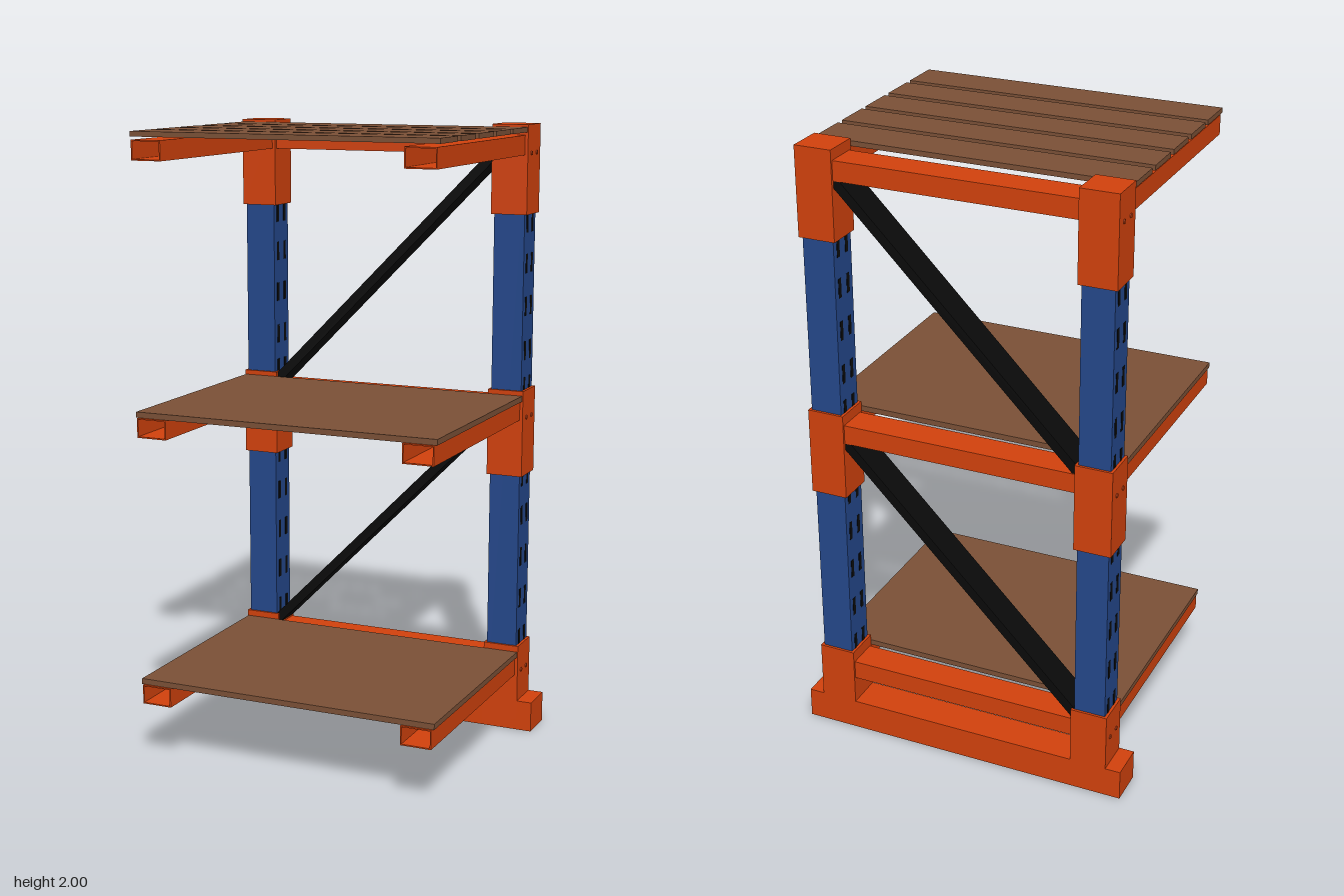
import * as THREE from 'three';

function flat(name, hex) {
  const m = new THREE.MeshStandardMaterial({ color: hex });
  m.name = name;
  return m;
}

export function createModel() {
  const orange = flat('orange', 0xd1410c);
  const blue = flat('blue', 0x24478a);
  const brown = flat('brown', 0x7a5036);
  const black = flat('black', 0x0a0a0a);

  const model = new THREE.Group();
  model.name = 'storageRack';

  // Box given by its lower and upper corners
  function box(name, mat, [x0, y0, z0], [x1, y1, z1]) {
    const mesh = new THREE.Mesh(new THREE.BoxGeometry(x1 - x0, y1 - y0, z1 - z0), mat);
    mesh.position.set((x0 + x1) / 2, (y0 + y1) / 2, (z0 + z1) / 2);
    mesh.name = name;
    model.add(mesh);
    return mesh;
  }

  const levels = [0.19, 1.055, 1.905]; // underside of each shelf's beams
  const beamHeight = 0.062;
  const columnX = 0.443;
  const columnZ = -0.375;
  const slotRows = [0.31, 0.448, 0.59, 0.73, 0.86, 1.16, 1.278, 1.422, 1.56, 1.69];

  // Base beam
  box('baseBeam', orange, [-0.553, 0, -0.435], [0.553, 0.1, -0.315]);

  // Hollow rectangular arm, open at the front
  const section = new THREE.Shape();
  const w = 0.05, h = beamHeight / 2, wall = 0.004;
  section.moveTo(-w, -h).lineTo(w, -h).lineTo(w, h).lineTo(-w, h).closePath();
  const hole = new THREE.Path();
  hole.moveTo(-w + wall, -h + wall).lineTo(-w + wall, h - wall)
    .lineTo(w - wall, h - wall).lineTo(w - wall, -h + wall).closePath();
  section.holes.push(hole);
  const armGeometry = new THREE.ExtrudeGeometry(section, { depth: 0.75, bevelEnabled: false });

  const boltGeometry = new THREE.CylinderGeometry(0.007, 0.007, 0.004, 10).rotateZ(Math.PI / 2);

  for (const side of [-1, 1]) {
    const x = side * columnX;

    // Column with rows of slots through its sides
    box('column', blue, [x - 0.051, 0.05, -0.427], [x + 0.051, 1.9, -0.322]);
    for (const y of slotRows)
      for (const z of [-0.35, -0.4])
        box('columnSlot', black, [x - 0.052, y - 0.031, z - 0.008], [x + 0.052, y + 0.031, z + 0.008]);

    // Corner sleeves with bolts on both sides
    for (const [y0, y1] of [[0, 0.29], [0.867, 1.15], [1.717, 2]]) {
      box('sleeve', orange, [x - 0.06, y0, -0.435], [x + 0.06, y1, -0.315]);
      for (const z of [-0.35, -0.4])
        for (const face of [-1, 1]) {
          const bolt = new THREE.Mesh(boltGeometry, orange);
          bolt.name = 'bolt';
          bolt.position.set(x + face * 0.061, y1 - 0.09, z);
          model.add(bolt);
        }
    }

    // Shelf arms; the column shows inside the two lower ones
    levels.forEach((y, i) => {
      const arm = new THREE.Mesh(armGeometry, orange);
      arm.name = 'shelfArm';
      arm.position.set(x, y + h, -0.315);
      model.add(arm);
      if (i < 2)
        box('armInnerEnd', blue, [x - w + wall, y + wall, -0.315], [x + w - wall, y + beamHeight - wall, -0.311]);
    });
  }

  // Back cross beams
  for (const y of levels)
    box('crossBeam', orange, [-0.385, y, -0.428], [0.385, y + beamHeight, -0.325]);

  // Diagonal braces
  for (const [y0, y1] of [[0.27, 1.06], [1.12, 1.91]]) {
    const run = 0.78, rise = y1 - y0;
    const brace = new THREE.Mesh(new THREE.BoxGeometry(Math.hypot(run, rise), 0.03, 0.1), black);
    brace.name = 'diagonalBrace';
    brace.position.set(0, (y0 + y1) / 2, columnZ);
    brace.rotation.z = Math.atan2(rise, run);
    model.add(brace);
  }

  // Solid lower shelves
  for (const y of levels.slice(0, 2))
    box('shelfBoard', brown, [-0.5, y + beamHeight, -0.315], [0.5, y + 0.08, 0.428]);

  // Slatted top shelf
  for (const [z0, z1] of [[-0.315, -0.18], [-0.155, -0.03], [-0.005, 0.12], [0.145, 0.27], [0.293, 0.428]])
    box('topSlat', brown, [-0.5, 1.976, z0], [0.5, 1.992, z1]);

  return model;
}
